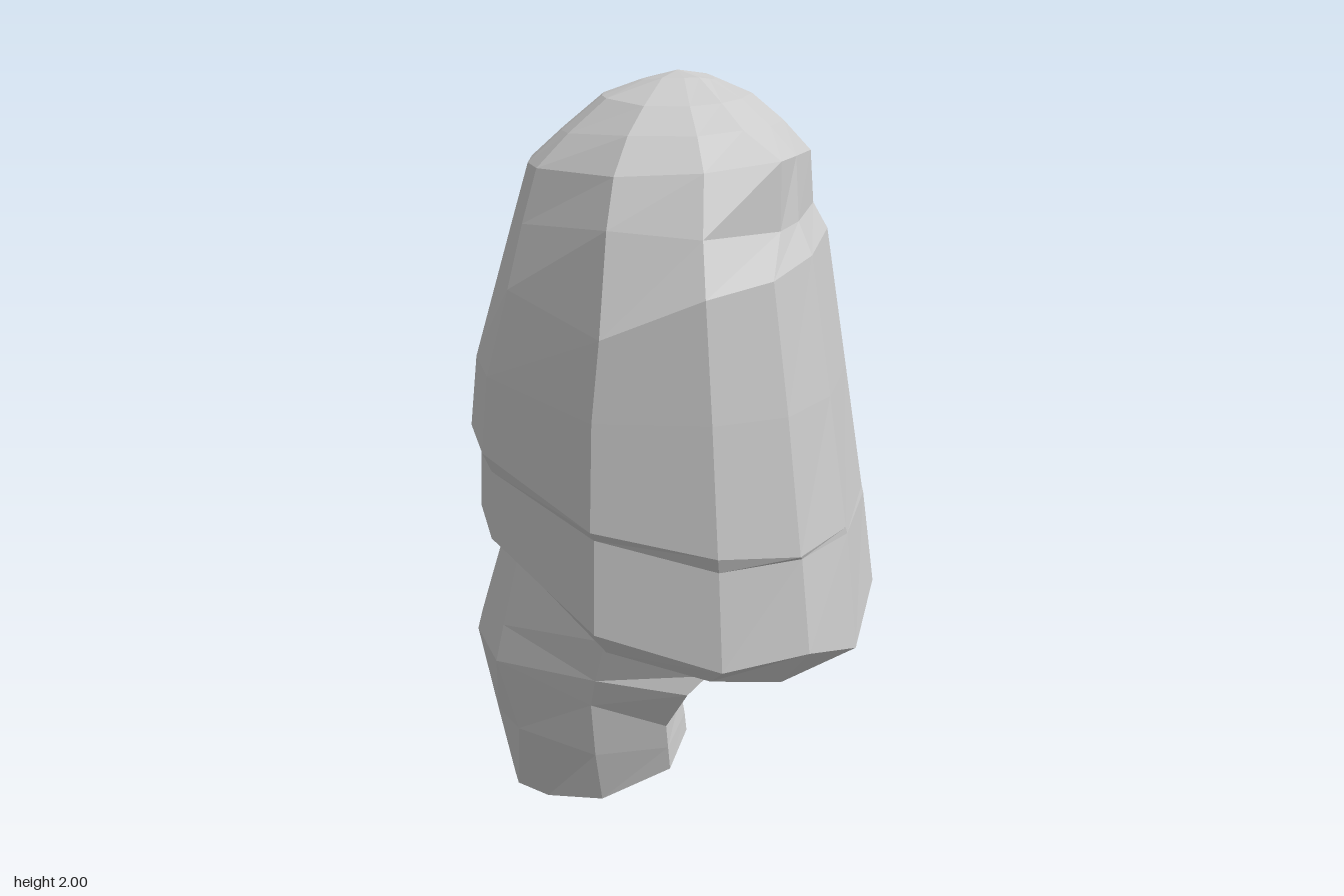
import * as THREE from 'three';

const material = new THREE.MeshStandardMaterial({
  color: 0xcccccc, flatShading: true, side: THREE.DoubleSide,
});

// Skin between rows of points, listed from bottom to top
function loft(name, rows, closed) {
  const n = rows[0].length;
  const index = [];
  for (let i = 0; i < rows.length - 1; i++) {
    for (let j = 0; j < (closed ? n : n - 1); j++) {
      const k = (j + 1) % n;
      const a = i * n + j, b = i * n + k, c = b + n, d = a + n;
      index.push(a, b, c, a, c, d);
    }
  }
  const geometry = new THREE.BufferGeometry();
  geometry.setAttribute('position', new THREE.Float32BufferAttribute(rows.flat(2), 3));
  geometry.setIndex(index);
  geometry.computeVertexNormals();
  const mesh = new THREE.Mesh(geometry, material);
  mesh.name = name;
  return mesh;
}

// Half outline of the helmet, from the face (-x) round to the nape (+x)
const outline = [
  [-1, 0], [-0.94, 0.37], [-0.82, 0.64], [-0.27, 1],
  [0.3, 1], [0.68, 0.85], [0.9, 0.53], [1, 0],
];

// One ring: reach to face, nape and side, then heights at six stations
function ring([face, nape, side, yFace, yTemple, yEar, yBehind, yCorner, yNape]) {
  const mix = THREE.MathUtils.lerp;
  const y = [yFace, mix(yFace, yTemple, 0.1), mix(yFace, yTemple, 0.25), yTemple,
    yEar, yBehind, yCorner, yNape];
  const half = outline.map(([u, w], i) => [u < 0 ? -u * face : u * nape, y[i], w * side]);
  const other = half.slice(1, -1).reverse().map(([x, h, z]) => [x, h, -z]);
  return [...half, ...other];
}

// Lower rim, arched over the nape, and the brow band
const rimRings = [
  [-0.46, 0.46, 0.67, 0.78, 0.6, 0.53, 0.49, 0.47, 0.47],
  [-0.55, 0.565, 0.71, 0.87, 0.66, 0.57, 0.585, 0.51, 0.565],
  [-0.545, 0.53, 0.7, 1.03, 0.905, 0.83, 0.835, 0.83, 0.83],
  [-0.57, 0.525, 0.718, 1.09, 0.93, 0.87, 0.845, 0.85, 0.85],
];

// Tall crown with a shallow groove at the back, below the cap
const crownRings = [
  rimRings[3],
  [-0.55, 0.47, 0.705, 1.27, 1.2, 1.2, 1.2, 1.2, 1.2],
  [-0.48, 0.41, 0.69, 1.5, 1.4, 1.5, 1.53, 1.56, 1.58],
  [-0.44, 0.37, 0.615, 1.63, 1.65, 1.63, 1.63, 1.64, 1.65],
  [-0.4, 0.36, 0.55, 1.77, 1.77, 1.78, 1.8, 1.8, 1.79],
];

const capRings = [
  crownRings[4],
  [-0.31, 0.285, 0.46, 1.85, 1.86, 1.86, 1.87, 1.87, 1.87],
  [-0.2, 0.2, 0.36, 1.94, 1.925, 1.925, 1.93, 1.935, 1.94],
  [-0.1, 0.1, 0.16, 1.975, 1.985, 1.985, 1.985, 1.98, 1.975],
  [0, 0, 0, 2, 2, 2, 2, 2, 2],
];
// The recess behind each ear pulls the crown in under the cap
function recess(rows) {
  for (const j of [5, 9]) {
    for (const i of [3, 4]) {
      rows[i][j][0] = 0.29;
      rows[i][j][2] = Math.sign(rows[i][j][2]) * 0.445;
    }
  }
  return rows;
}

// Cheek plate: inner wall of the face slit, then round to the ear flange
const cheekRows = [
  [[-0.01, 0.21, 0.11], [-0.46, 0, 0.18], [-0.44, 0, 0.24], [-0.33, 0.04, 0.38],
    [-0.15, 0.15, 0.59], [0.03, 0.25, 0.6], [0.055, 0.25, 0.37]],
  [[-0.01, 0.3, 0.105], [-0.505, 0.22, 0.15], [-0.49, 0.24, 0.25], [-0.4, 0.26, 0.42],
    [-0.165, 0.28, 0.6], [0.025, 0.31, 0.6], [0.05, 0.3, 0.37]],
  [[-0.02, 0.42, 0.1], [-0.555, 0.48, 0.12], [-0.54, 0.48, 0.25], [-0.45, 0.47, 0.45],
    [-0.175, 0.42, 0.6], [0.02, 0.37, 0.6], [0.04, 0.36, 0.37]],
  [[-0.03, 0.52, 0.1], [-0.52, 0.6, 0.11], [-0.51, 0.59, 0.25], [-0.43, 0.57, 0.44],
    [-0.16, 0.5, 0.625], [0.08, 0.49, 0.67], [0.08, 0.47, 0.4]],
  [[-0.04, 0.62, 0.1], [-0.46, 0.8, 0.1], [-0.45, 0.79, 0.25], [-0.39, 0.76, 0.42],
    [-0.13, 0.62, 0.655], [0.13, 0.54, 0.66], [0.12, 0.53, 0.42]],
];

export function createModel() {
  const group = new THREE.Group();
  group.name = 'helmet';
  const cap = capRings.map(ring);
  const crown = recess(crownRings.map(ring));
  cap[0] = crown[4];
  group.add(
    loft('browBand', rimRings.map(ring), true),
    loft('crown', crown, true),
    loft('cap', cap, true),
    loft('cheekPlateFront', cheekRows, false),
    loft('cheekPlateRear', cheekRows.map((row) =>
      row.map(([x, y, z]) => [x, y, -z]).reverse()), false),
  );
  return group;
}
